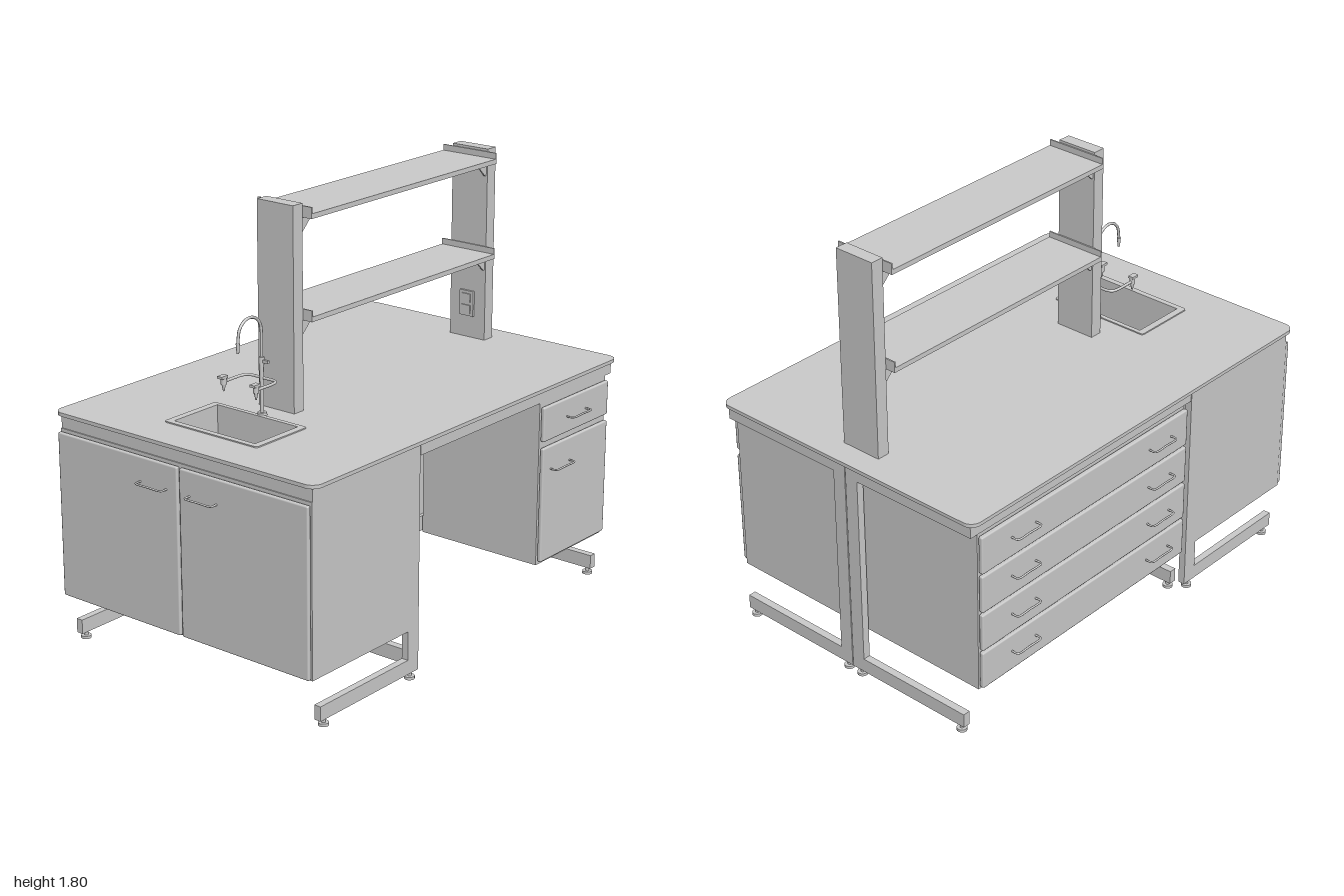
import * as THREE from 'three';
import { RoundedBoxGeometry } from 'three/addons/geometries/RoundedBoxGeometry.js';

export function createModel() {
  const root = new THREE.Group();
  const mat = new THREE.MeshStandardMaterial({ color: 0xcccccc, side: THREE.DoubleSide });
  const V = (x, y, z) => new THREE.Vector3(x, y, z);

  const add = (name, geo, parent = root) => {
    const m = new THREE.Mesh(geo, mat);
    m.name = name;
    parent.add(m);
    return m;
  };
  // Box given by its two extreme corners
  const box = (name, x0, x1, y0, y1, z0, z1, parent) =>
    add(name, new THREE.BoxGeometry(x1 - x0, y1 - y0, z1 - z0)
      .translate((x0 + x1) / 2, (y0 + y1) / 2, (z0 + z1) / 2), parent);
  // Door or drawer front with softened edges
  const front = (name, x0, x1, y0, y1, z0, z1) =>
    add(name, new RoundedBoxGeometry(x1 - x0, y1 - y0, z1 - z0, 1, 0.007)
      .translate((x0 + x1) / 2, (y0 + y1) / 2, (z0 + z1) / 2));
  const pipe = (name, pts, r, parent) =>
    add(name, new THREE.TubeGeometry(new THREE.CatmullRomCurve3(pts, false, 'centripetal'), 40, r, 8), parent);
  const cyl = (name, r0, r1, h, x, y, z, parent) =>
    add(name, new THREE.CylinderGeometry(r0, r1, h, 16).translate(x, y, z), parent);
  // Flat plate in x/z with a rectangular hole, top face at the given height
  const plate = (name, hw, z0, z1, r, top, thick, hole) => {
    const s = new THREE.Shape();
    s.moveTo(-hw + r, z0);
    s.lineTo(hw - r, z0); s.absarc(hw - r, z0 + r, r, -Math.PI / 2, 0);
    s.lineTo(hw, z1 - r); s.absarc(hw - r, z1 - r, r, 0, Math.PI / 2);
    s.lineTo(-hw + r, z1); s.absarc(-hw + r, z1 - r, r, Math.PI / 2, Math.PI);
    s.lineTo(-hw, z0 + r); s.absarc(-hw + r, z0 + r, r, Math.PI, Math.PI * 1.5);
    const [hx, h0, h1] = hole;
    s.holes.push(new THREE.Path([[-hx, h0], [-hx, h1], [hx, h1], [hx, h0]].map(p => new THREE.Vector2(...p))));
    const g = new THREE.ExtrudeGeometry(s, { depth: thick, bevelEnabled: false, curveSegments: 8 });
    return add(name, g.rotateX(Math.PI / 2).translate(0, top, 0));
  };
  // Bow handle, built facing +z and turned to its side
  const handle = (x, y, z, turn) => {
    const g = new THREE.Group();
    g.name = 'handle';
    pipe('handleBow', [V(-0.067, 0, 0), V(-0.067, 0, 0.026), V(-0.06, 0, 0.032), V(0, 0, 0.032),
      V(0.06, 0, 0.032), V(0.067, 0, 0.026), V(0.067, 0, 0)], 0.004, g);
    g.position.set(x, y, z);
    g.rotation.y = turn;
    root.add(g);
  };
  const foot = (x, z) => {
    cyl('levellingFoot', 0.021, 0.021, 0.012, x, 0.006, z);
    cyl('footStem', 0.008, 0.008, 0.022, x, 0.021, z);
  };

  // Worktop with sink cut-out
  plate('worktop', 0.66, -1, 0.96, 0.045, 0.98, 0.015, [0.21, 0.51, 0.765]);

  // Sink rim and basin
  plate('sinkRim', 0.235, 0.495, 0.785, 0.012, 0.985, 0.006, [0.205, 0.515, 0.76]);
  for (const s of [-1, 1])
    box('basinSide', s * 0.2075 - 0.0025, s * 0.2075 + 0.0025, 0.8, 0.982, 0.51, 0.765);
  box('basinBack', -0.21, 0.21, 0.8, 0.982, 0.51, 0.515);
  box('basinFront', -0.21, 0.21, 0.8, 0.982, 0.76, 0.765);
  box('basinFloor', -0.21, 0.21, 0.795, 0.8, 0.51, 0.765);
  cyl('drain', 0.022, 0.022, 0.006, 0, 0.802, 0.64);

  // Sink cabinet, open at the top for the basin
  for (const s of [-1, 1])
    box('sinkCabinetSide', s * 0.625 - 0.01, s * 0.625 + 0.01, 0.21, 0.91, 0.375, 0.945);
  box('sinkCabinetBack', -0.615, 0.615, 0.21, 0.91, 0.375, 0.39);
  box('sinkCabinetFloor', -0.615, 0.615, 0.21, 0.23, 0.39, 0.945);
  box('sinkCabinetTopRail', -0.615, 0.615, 0.88, 0.91, 0.925, 0.945);
  for (const s of [-1, 1]) {
    front('sinkDoor', s * 0.319 - 0.314, s * 0.319 + 0.314, 0.215, 0.9, 0.947, 0.966);
    handle(s * 0.126, 0.8, 0.965, 0);
  }

  // Sink support frame
  for (const s of [-1, 1]) {
    const a = s * 0.62 - 0.015, b = s * 0.62 + 0.015;
    box('sinkFramePost', a, b, 0.03, 0.965, 0.31, 0.375);
    box('sinkFrameFoot', a, b, 0.03, 0.09, 0.375, 0.9);
    box('sinkFrameTopArm', a, b, 0.91, 0.965, 0.375, 0.94);
    foot(s * 0.62, 0.345);
    foot(s * 0.62, 0.865);
  }
  box('sinkFrameFrontRail', -0.605, 0.605, 0.91, 0.965, 0.91, 0.94);
  box('sinkFrameBackRail', -0.605, 0.605, 0.91, 0.965, 0.31, 0.345);
  box('sinkFrameLowerRail', -0.605, 0.605, 0.21, 0.275, 0.31, 0.345);

  // Two back-to-back bench frames
  for (const s of [-1, 1]) {
    const span = (name, a, b, ...r) => box(name, Math.min(s * a, s * b), Math.max(s * a, s * b), ...r);
    for (const z of [0.29, -0.968]) {
      span('benchPost', 0.002, 0.062, 0.03, 0.965, z - 0.016, z + 0.016);
      span('benchFoot', 0.062, 0.59, 0.03, 0.09, z - 0.016, z + 0.016);
      span('benchTopArm', 0.062, 0.635, 0.91, 0.965, z - 0.016, z + 0.016);
      foot(s * 0.036, z);
      foot(s * 0.565, z);
    }
    span('benchLowerBeam', 0.002, 0.036, 0.21, 0.275, -0.952, 0.274);
    span('benchInnerBeam', 0.002, 0.036, 0.91, 0.965, -0.952, 0.274);
    span('benchOuterBeam', 0.605, 0.635, 0.91, 0.965, -0.952, 0.274);
  }
  box('kneeholePanel', 0.005, 0.02, 0.275, 0.91, -0.952, 0.274);

  // Four-drawer cabinet on the right side
  box('wideCabinet', -0.632, -0.05, 0.21, 0.91, -0.945, 0.265);
  for (let i = 0; i < 4; i++) {
    const y = 0.222 + i * 0.172;
    front('wideDrawer', -0.655, -0.634, y, y + 0.162, -0.943, 0.263);
    for (const z of [-0.715, 0.09]) handle(-0.654, y + 0.087, z, -Math.PI / 2);
  }

  // Drawer and door cabinet on the left side
  box('smallCabinet', 0.05, 0.632, 0.21, 0.91, -0.948, -0.478);
  front('smallDrawer', 0.634, 0.653, 0.745, 0.892, -0.944, -0.482);
  front('smallDoor', 0.634, 0.653, 0.225, 0.718, -0.944, -0.482);
  handle(0.651, 0.815, -0.71, Math.PI / 2);
  handle(0.651, 0.62, -0.602, Math.PI / 2);

  // Shelf columns
  box('frontColumn', -0.09, 0.09, 0.98, 1.805, 0.345, 0.4);
  box('rearColumn', -0.09, 0.09, 0.98, 1.805, -0.895, -0.84);
  box('socketPlate', -0.035, 0.035, 1.075, 1.185, -0.84, -0.83);
  for (const y of [1.105, 1.155]) box('socket', -0.022, 0.022, y - 0.018, y + 0.018, -0.83, -0.825);

  // Shelves with end plates and gussets
  for (const y of [1.75, 1.345]) {
    box('shelf', -0.135, 0.135, y, y + 0.02, -0.838, 0.343);
    for (const [z, d] of [[0.345, -1], [-0.84, 1]]) {
      const zb = z + d * 0.006;
      box('shelfEndPlate', -0.135, 0.135, y, y + 0.045, Math.min(z, zb), Math.max(z, zb));
      for (const x of [-0.08, 0.08]) {
        const tri = new THREE.Shape([[0, 0], [0.06, 0], [0.06, -0.008], [0.008, -0.058], [0, -0.058]]
          .map(p => new THREE.Vector2(...p)));
        const g = new THREE.ExtrudeGeometry(tri, { depth: 0.008, bevelEnabled: false });
        g.translate(0, 0, -0.004).rotateY(d > 0 ? -Math.PI / 2 : Math.PI / 2);
        add('shelfGusset', g.translate(x, y, z));
      }
    }
  }

  // Gooseneck tap with two side outlets
  const tap = new THREE.Group();
  tap.name = 'tap';
  root.add(tap);
  cyl('tapBase', 0.018, 0.02, 0.012, 0, 0.986, 0.485, tap);
  cyl('tapRiser', 0.008, 0.008, 0.22, 0, 1.09, 0.485, tap);
  cyl('tapCollar', 0.011, 0.011, 0.03, 0, 1.2, 0.485, tap);
  const neck = [V(0, 1.18, 0.485), V(0, 1.26, 0.485)];
  for (let i = 0; i <= 8; i++) {
    const a = Math.PI * (1 - i / 8);
    neck.push(V(0, 1.32 + 0.066 * Math.sin(a), 0.551 + 0.066 * Math.cos(a)));
  }
  pipe('gooseneck', [...neck, V(0, 1.295, 0.62)], 0.006, tap);
  cyl('gooseneckNozzle', 0.008, 0.005, 0.04, 0, 1.28, 0.62, tap);
  box('tapLever', 0, 0.035, 1.193, 1.205, 0.479, 0.491, tap);
  for (const s of [-1, 1]) {
    pipe('sideArm', [V(0, 1.13, 0.482), V(s * 0.055, 1.13, 0.482), V(s * 0.075, 1.13, 0.492),
      V(s * 0.082, 1.13, 0.515), V(s * 0.082, 1.13, 0.61)], 0.006, tap);
    cyl('sideValve', 0.012, 0.012, 0.035, s * 0.082, 1.137, 0.612, tap);
    cyl('sideNozzle', 0.009, 0.003, 0.03, s * 0.082, 1.107, 0.612, tap);
    box('sideKnob', s * 0.082 - 0.012, s * 0.082 + 0.012, 1.145, 1.155, 0.6, 0.635, tap);
  }
  return root;
}
